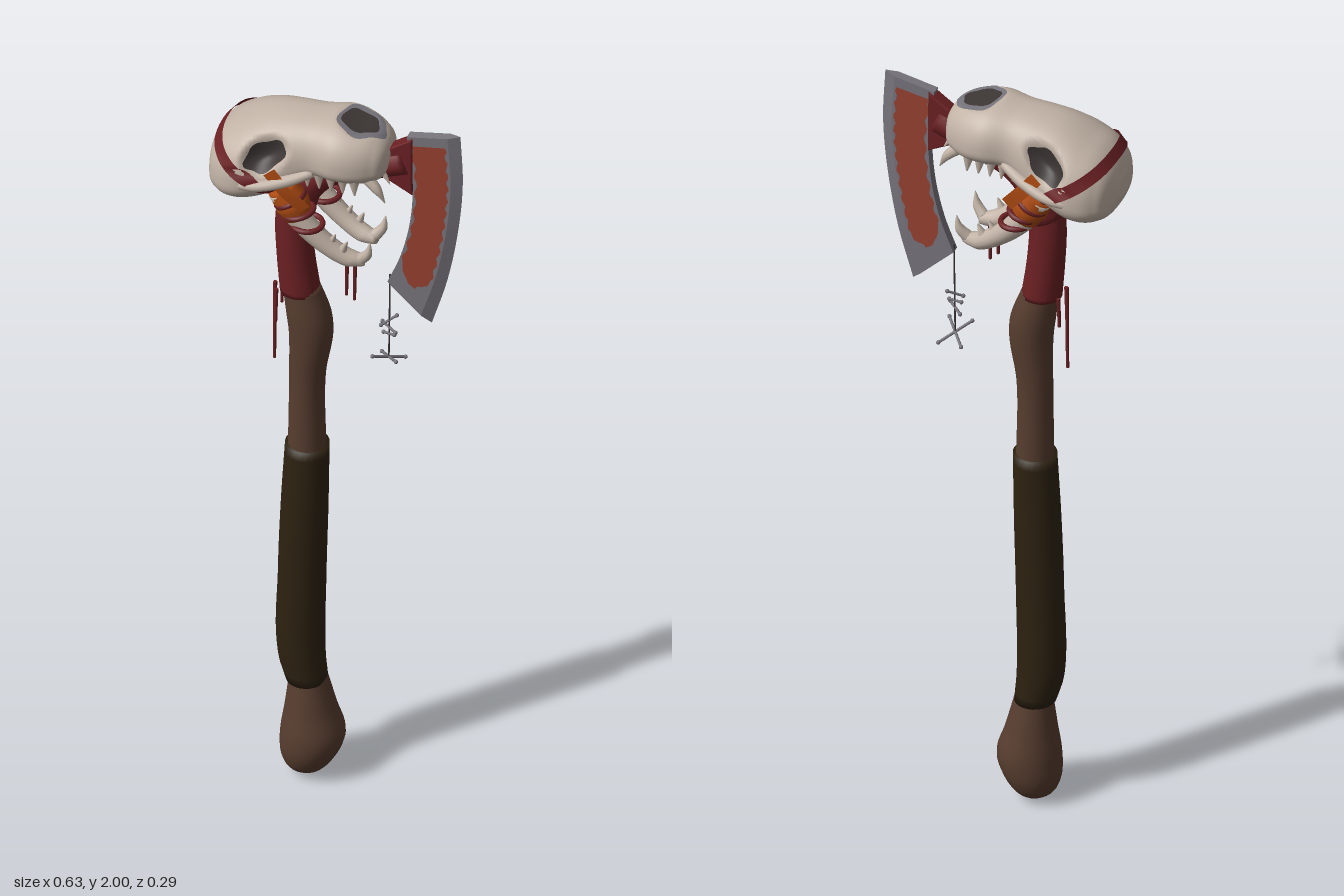
import * as THREE from 'three';

const mat = (name, color, side = THREE.FrontSide) => {
  const m = new THREE.MeshStandardMaterial({ color, side });
  m.name = name;
  return m;
};
const V = (x, y, z = 0) => new THREE.Vector3(x, y, z);

export function createModel() {
  const D = THREE.DoubleSide;
  const bone = mat('bone', 0xc2b3a6), wood = mat('wood', 0x573d2f), grip = mat('darkGrip', 0x2d2211);
  const red = mat('redLeather', 0x6b2023, D), orange = mat('orangeCloth', 0xac4a12, D);
  const steel = mat('steel', 0x77747c, D), rust = mat('rust', 0x96412f, D), dark = mat('hollow', 0x3d3735, D);

  const model = new THREE.Group();
  const add = (name, geo, material, parent = model) => {
    const m = new THREE.Mesh(geo, material);
    m.name = name;
    parent.add(m);
    return m;
  };

  // Closed skin over a list of equal rings, capped at both ends
  const skin = (rings) => {
    const n = rings[0].length, pts = rings.flat(), idx = [], last = (rings.length - 1) * n;
    for (let i = 0; i < rings.length - 1; i++)
      for (let j = 0; j < n; j++) {
        const a = i * n + j, b = i * n + (j + 1) % n;
        idx.push(a, b, b + n, a, b + n, a + n);
      }
    const mid = (r) => r.reduce((s, p) => s.add(p), V(0, 0)).divideScalar(n);
    const c0 = pts.length;
    pts.push(mid(rings[0]), mid(rings[rings.length - 1]));
    for (let j = 0; j < n; j++) {
      const k = (j + 1) % n;
      idx.push(c0, k, j, c0 + 1, last + j, last + k);
    }
    const g = new THREE.BufferGeometry().setFromPoints(pts);
    g.setIndex(idx);
    g.computeVertexNormals();
    return g;
  };
  // Open strip between two edges
  const ribbon = (a, b) => {
    const idx = [];
    for (let i = 0; i < a.length - 1; i++) {
      const k = a.length + i;
      idx.push(i, i + 1, k + 1, i, k + 1, k);
    }
    const g = new THREE.BufferGeometry().setFromPoints([...a, ...b]);
    g.setIndex(idx);
    g.computeVertexNormals();
    return g;
  };
  // Round sweep with a changing radius
  const sweep = (pts, radii, seg = 24, sides = 14) => {
    const curve = new THREE.CatmullRomCurve3(pts), f = curve.computeFrenetFrames(seg), rings = [];
    for (let i = 0; i <= seg; i++) {
      const t = i / seg, s = t * (radii.length - 1), k = Math.min(Math.floor(s), radii.length - 2);
      const r = THREE.MathUtils.lerp(radii[k], radii[k + 1], s - k), c = curve.getPoint(t);
      rings.push(Array.from({ length: sides }, (_, j) => {
        const a = j / sides * Math.PI * 2;
        return c.clone().addScaledVector(f.normals[i], r * Math.cos(a)).addScaledVector(f.binormals[i], r * Math.sin(a));
      }));
    }
    return skin(rings);
  };
  // Straight rod or spike from a to b
  const rod = (a, b, r0, r1, sides = 8) => {
    const d = b.clone().sub(a), g = new THREE.CylinderGeometry(r1, r0, d.length(), sides);
    g.applyQuaternion(new THREE.Quaternion().setFromUnitVectors(V(0, 1), d.normalize()));
    const c = a.clone().add(b).multiplyScalar(0.5);
    return g.translate(c.x, c.y, c.z);
  };

  // Handle pieces from rows of [y, x min, x max, z half width]
  const handle = (name, rows, material) => {
    const c = new THREE.CubicInterpolant(rows.map(r => r[0]), rows.flatMap(r => r.slice(1)), 3);
    const rings = [], n = 28, y0 = rows[0][0], y1 = rows[rows.length - 1][0];
    for (let i = 0; i <= n; i++) {
      const y = y0 + (y1 - y0) * i / n, [l, r, h] = c.evaluate(y);
      rings.push(Array.from({ length: 24 }, (_, j) => {
        const a = j / 24 * Math.PI * 2;
        return V((l + r) / 2 + (r - l) / 2 * Math.cos(a), y, 0.01 - h * Math.sin(a));
      }));
    }
    add(name, skin(rings), material);
  };
  handle('pommel', [[0, -0.095, -0.06, 0.018], [0.02, -0.126, -0.035, 0.048], [0.06, -0.144, -0.006, 0.072], [0.12, -0.145, 0.014, 0.08],
    [0.2, -0.134, -0.008, 0.066], [0.3, -0.122, -0.034, 0.046]], wood);
  handle('gripWrap', [[0.28, -0.132, -0.03, 0.055], [0.35, -0.152, -0.036, 0.058], [0.6, -0.152, -0.034, 0.058],
    [0.8, -0.145, -0.029, 0.057], [0.99, -0.134, -0.026, 0.054]], grip);
  handle('shaft', [[0.97, -0.127, -0.034, 0.048], [1.2, -0.124, -0.035, 0.046], [1.33, -0.125, -0.016, 0.053],
    [1.38, -0.131, -0.02, 0.054], [1.47, -0.142, -0.052, 0.045]], wood);
  handle('neckWrap', [[1.45, -0.148, -0.048, 0.05], [1.55, -0.156, -0.062, 0.046], [1.65, -0.16, -0.068, 0.043], [1.76, -0.15, -0.06, 0.04]], red);
  add('neckArch', sweep([V(-0.113, 1.68), V(-0.085, 1.76), V(-0.03, 1.815), V(0.05, 1.845), V(0.12, 1.875), V(0.17, 1.895)],
    [0.045, 0.044, 0.04, 0.036, 0.034, 0.034]), red);
  const socket = new THREE.Shape([[0.11, 1.85], [0.14, 1.835], [0.187, 1.81], [0.187, 1.968], [0.14, 1.935], [0.11, 1.91]].map(p => new THREE.Vector2(...p)));
  add('bladeSocket', new THREE.ExtrudeGeometry(socket, { depth: 0.024, bevelSize: 0.004, bevelThickness: 0.006 }).translate(0, 0, -0.012), red);

  // Blade: wedge section carried along two curved edges
  const inner = new THREE.CatmullRomCurve3([V(0.175, 1.975), V(0.19, 1.85), V(0.183, 1.72), V(0.158, 1.61), V(0.125, 1.525)]);
  const outer = new THREE.CatmullRomCurve3([V(0.308, 2), V(0.314, 1.86), V(0.303, 1.72), V(0.275, 1.56), V(0.235, 1.42)]);
  const onBlade = (t, u, z) => inner.getPoint(t).lerp(outer.getPoint(t), u).setZ(z);
  const bladeRings = Array.from({ length: 21 }, (_, i) =>
    [[1, 0], [0.78, 0.012], [0, 0.012], [0, -0.012], [0.78, -0.012]].map(([u, z]) => onBlade(i / 20, u, z)));
  const bladeGeo = skin(bladeRings).toNonIndexed();
  bladeGeo.computeVertexNormals();
  add('blade', bladeGeo, steel);
  for (const s of [1, -1]) {
    const edge = (f) => Array.from({ length: 41 }, (_, i) => onBlade(0.05 + 0.84 * i / 40, f(i), s * 0.0135));
    add('bladeRust', ribbon(edge(i => 0.06 + 0.03 * Math.sin(i * 1.3) + (i > 35 ? (i - 35) * 0.05 : 0)),
      edge(i => 0.72 + 0.03 * Math.sin(i * 1.9) - (i > 36 ? (i - 36) * 0.06 : 0))), rust);
  }

  // Skull: sections along x as [x, top, bottom, half width]
  const sec = [[-0.318, 1.85, 1.8, 0.03], [-0.306, 1.885, 1.768, 0.082], [-0.28, 1.918, 1.748, 0.117], [-0.23, 1.948, 1.742, 0.138],
    [-0.17, 1.974, 1.755, 0.128], [-0.11, 1.985, 1.795, 0.112], [-0.05, 1.99, 1.835, 0.1], [0.015, 1.996, 1.84, 0.112],
    [0.06, 1.988, 1.84, 0.104], [0.1, 1.973, 1.845, 0.082], [0.125, 1.95, 1.86, 0.058], [0.135, 1.93, 1.88, 0.03]];
  const secAt = new THREE.CubicInterpolant(sec.map(r => r[0]), sec.flatMap(r => r.slice(1)), 3);
  const pw = (v, e) => Math.sign(v) * Math.abs(v) ** e;
  const bump = (dx, dp) => Math.max(0, 1 - dx * dx - dp * dp);
  const skullPoint = (x, phi, lift = 0) => {
    const [top, bot, w] = secAt.evaluate(x), yc = bot + 0.36 * (top - bot), c = pw(Math.cos(phi), 0.85);
    const y = (c > 0 ? top - yc : yc - bot) * c, z = w * pw(Math.sin(phi), 0.85);
    const eye = bump((x + 0.155) / 0.06, (Math.abs(phi) - 1.12) / 0.42);
    const nose = bump((x - 0.055) / 0.06, phi / 0.5);
    const k = 1 - 0.3 * eye - 0.12 * nose + lift / Math.hypot(y, z);
    return V(x, yc + y * k, z * k);
  };
  const skull = new THREE.Group();
  skull.name = 'skull';
  model.add(skull);
  add('cranium', skin(Array.from({ length: 81 }, (_, i) => {
    const x = -0.2265 * 0.4 - 0.0009 - 0.2265 * Math.cos(i / 80 * Math.PI);
    return Array.from({ length: 72 }, (_, j) => {
      const a = j / 72 * Math.PI * 2;
      return skullPoint(THREE.MathUtils.clamp(x, -0.318, 0.135), a > Math.PI ? a - 2 * Math.PI : a);
    });
  })), bone, skull);
  // Dark openings that follow the bone surface
  const patch = (name, x0, p0, rx, rp, lift, material) => {
    const g = new THREE.RingGeometry(0.001, 1, 36, 8), p = g.attributes.position;
    for (let i = 0; i < p.count; i++) {
      const wob = 1 + 0.06 * Math.sin(5 * Math.atan2(p.getY(i), p.getX(i)));
      const q = skullPoint(x0 + rx * wob * p.getX(i), p0 + rp * wob * p.getY(i), lift);
      p.setXYZ(i, q.x, q.y, q.z);
    }
    g.computeVertexNormals();
    add(name, g, material, skull);
  };
  patch('noseRim', 0.06, 0, 0.06, 0.52, 0.003, steel);
  patch('noseHole', 0.055, 0, 0.046, 0.34, 0.005, dark);

  for (const s of [1, -1]) {
    patch('eyeSocket', -0.155, s * 1.12, 0.05, 0.34, 0.004, dark);
    add('cheekBone', sweep([V(-0.24, 1.815, s * 0.122), V(-0.17, 1.825, s * 0.13), V(-0.1, 1.845, s * 0.112), V(-0.04, 1.87, s * 0.09)],
      [0.012, 0.014, 0.016, 0.012], 16, 10), bone, skull);
    // Upper teeth
    add('upperFang', sweep([V(0.09, 1.865, s * 0.06), V(0.118, 1.84, s * 0.066), V(0.138, 1.805, s * 0.066)], [0.016, 0.012, 0.001], 8, 8), bone, skull);
    add('incisor', rod(V(0.118, 1.875, s * 0.03), V(0.14, 1.84, s * 0.035), 0.01, 0.001), bone, skull);
    for (let i = 0; i < 5; i++)
      add('molar', rod(V(-0.06 + i * 0.03, 1.855, s * 0.07), V(-0.057 + i * 0.03, 1.815, s * 0.075), 0.014, 0.002), bone, skull);

    // Lower jaw with its teeth
    add('lowerJaw', sweep([V(-0.13, 1.78, s * 0.07), V(-0.08, 1.705, s * 0.066), V(-0.01, 1.637, s * 0.06), V(0.045, 1.605, s * 0.052), V(0.08, 1.603, s * 0.045)],
      [0.03, 0.03, 0.025, 0.023, 0.014]), bone);
    add('lowerFang', sweep([V(0.068, 1.605, s * 0.048), V(0.09, 1.632, s * 0.056), V(0.097, 1.668, s * 0.058)], [0.016, 0.012, 0.001], 8, 8), bone);
    for (let i = 0; i < 3; i++)
      add('lowerMolar', rod(V(-0.035 + i * 0.03, 1.655 - i * 0.014, s * 0.06), V(-0.02 + i * 0.03, 1.69 - i * 0.015, s * 0.062), 0.014, 0.002), bone);

    // Bindings at the jaw joint
    add('jawWrap', sweep([V(-0.128, 1.79, s * 0.062), V(-0.1, 1.745, s * 0.062), V(-0.085, 1.712, s * 0.062)], [0.038, 0.044, 0.036], 10, 14), orange);
    const tie = (dx, dy, z) => [V(-0.14 + dx, 1.87 + dy, z), V(-0.1 + dx, 1.82 + dy, z), V(-0.055 + dx, 1.765 + dy, z * 0.85)];
    add('clothStrip', ribbon(tie(-0.012, -0.01, s * 0.126), tie(0.014, 0.012, s * 0.122)), orange);
    for (let i = 0; i < 3; i++) {
      const loop = new THREE.TorusGeometry(0.037, 0.007, 8, 24).rotateX(Math.PI / 2).rotateZ(0.5 - i * 0.25);
      add('jawCord', loop.translate(-0.105 + i * 0.022, 1.758 - i * 0.032, s * 0.064), red);
    }
  }

  // Tilted strap round the back of the skull
  const strapEdge = (off) => Array.from({ length: 61 }, (_, i) => {
    const phi = (i / 30 - 1) * 2.2;
    let lo = -0.316, hi = 0;
    for (let k = 0; k < 30; k++) {
      const x = (lo + hi) / 2;
      if (x < -0.292 + off + (1.9 - skullPoint(x, phi).y) * 1.7) lo = x; else hi = x;
    }
    return skullPoint(lo, phi, 0.007);
  });
  add('skullStrap', ribbon(strapEdge(-0.03), strapEdge(0.03)), red);

  // Loose leather strips
  for (const [x, z, y0, y1] of [[-0.155, 0.03, 1.47, 1.24], [-0.147, 0.045, 1.46, 1.36], [-0.15, -0.01, 1.46, 1.38],
    [0.04, 0.062, 1.61, 1.5], [0.058, 0.055, 1.6, 1.485]])
    add('hangingStrip', rod(V(x, y0, z), V(x - 0.002, y1, z), 0.005, 0.004, 6), red);

  // Hanging charm of small bones
  const charm = new THREE.Group();
  charm.name = 'boneCharm';
  charm.position.set(0.125, 1.29, 0);
  model.add(charm);
  add('string', rod(V(0, 0, 0), V(0.003, 0.25, 0), 0.002, 0.002, 6), dark, charm);
  for (const [y, dx, dy, dz] of [[0, 0.03, 0.016, 0.035], [0, 0.03, -0.018, -0.035], [0.07, 0.018, 0.008, 0.012],
    [0.09, 0.02, -0.006, 0.01], [0.11, 0.016, 0.01, -0.012]]) {
    const a = V(-dx, y - dy, -dz), b = V(dx, y + dy, dz);
    add('smallBone', rod(a, b, 0.0035, 0.0035, 6), steel, charm);
    for (const p of [a, b]) add('boneKnob', new THREE.SphereGeometry(0.0055, 8, 6).translate(p.x, p.y, p.z), steel, charm);
  }
  return model;
}
